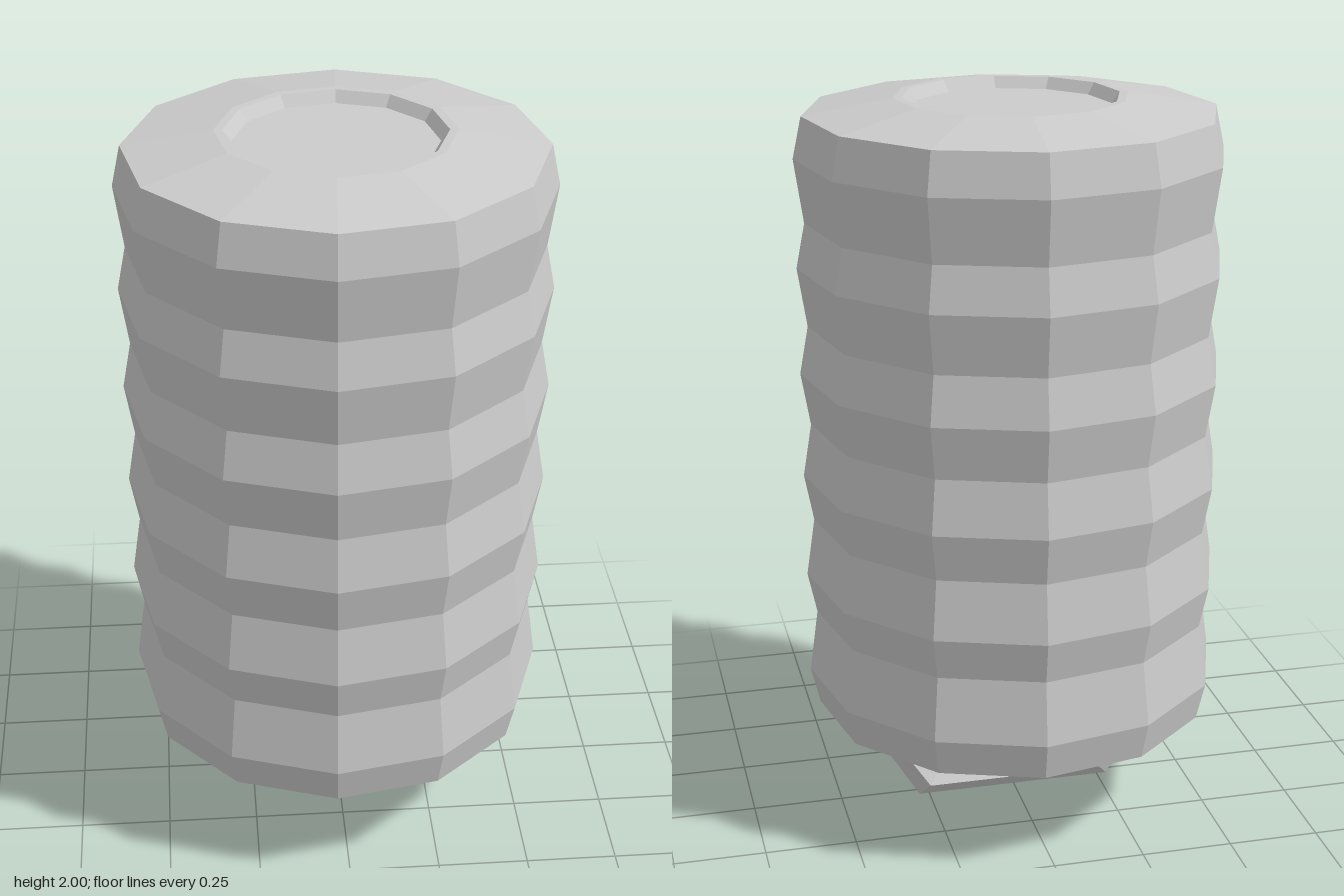
import * as THREE from 'three';

const SIDES = 12;
const TWIST = THREE.MathUtils.degToRad(-4);
const material = new THREE.MeshStandardMaterial({ color: 0xcccccc, flatShading: true });

function part(name, geometry) {
  const mesh = new THREE.Mesh(geometry, material);
  mesh.name = name;
  return mesh;
}

// Ribbed drum: one closed profile from the underside centre to the top centre
function bodyGeometry() {
  const profile = [
    [0, 0.385], [0.17, 0.385], [0.185, 0.37],      // shallow central dimple
    [0.44, 0.37], [0.46, 0.28],                    // underside recess
    [0.505, 0.28], [0.548, 0.297],                 // bottom rim
  ];
  const peaks = [0.4, 0.69, 0.98, 1.27, 1.56, 1.85];
  const valleys = [0.575, 0.85, 1.125, 1.4, 1.68, 1.96];
  peaks.forEach((y, i) => profile.push([0.572, y], [0.548, valleys[i]]));
  profile.push([0.31, 2], [0.287, 2], [0.265, 1.97], [0, 1.97]); // lid with sunk disc
  const points = profile.map(([r, y]) => new THREE.Vector2(r, y));
  return new THREE.LatheGeometry(points, SIDES, TWIST);
}

// Handle: six-sided bar lofted through sections [outer x, outer y, inner x, inner y]
function handleGeometry() {
  const half = [
    [0.37, 0.38, 0.28, 0.38],
    [0.37, 0.15, 0.28, 0.15],
    [0.278, 0, 0.222, 0.072],
  ];
  const mirrored = half.map(([ox, oy, ix, iy]) => [-ox, oy, -ix, iy]).reverse();
  const sections = [...half, ...mirrored];
  // [blend from outer to inner, z]
  const ring = [[0, 0.026], [0.5, 0.052], [1, 0.026], [1, -0.026], [0.5, -0.052], [0, -0.026]];
  const positions = [];
  const index = [];
  sections.forEach(([ox, oy, ix, iy], s) => {
    ring.forEach(([t, z], i) => {
      positions.push(ox + (ix - ox) * t, oy + (iy - oy) * t, z);
      if (s === sections.length - 1) return;
      const a = s * 6 + i;
      const b = s * 6 + (i + 1) % 6;
      index.push(a, b, a + 6, b, b + 6, a + 6);
    });
  });
  const geometry = new THREE.BufferGeometry();
  geometry.setAttribute('position', new THREE.Float32BufferAttribute(positions, 3));
  geometry.setIndex(index);
  geometry.computeVertexNormals();
  return geometry;
}

export function createModel() {
  const model = new THREE.Group();
  model.name = 'ribbedLantern';
  model.add(part('body', bodyGeometry()));
  model.add(part('handle', handleGeometry()));

  // Four bolt heads on the recessed underside
  const boltGeometry = new THREE.CylinderGeometry(0.058, 0.052, 0.02, 8);
  for (const x of [-0.16, 0.16]) {
    for (const z of [-0.27, 0.27]) {
      const bolt = part('bolt', boltGeometry);
      bolt.position.set(x, 0.365, z);
      model.add(bolt);
    }
  }
  return model;
}
